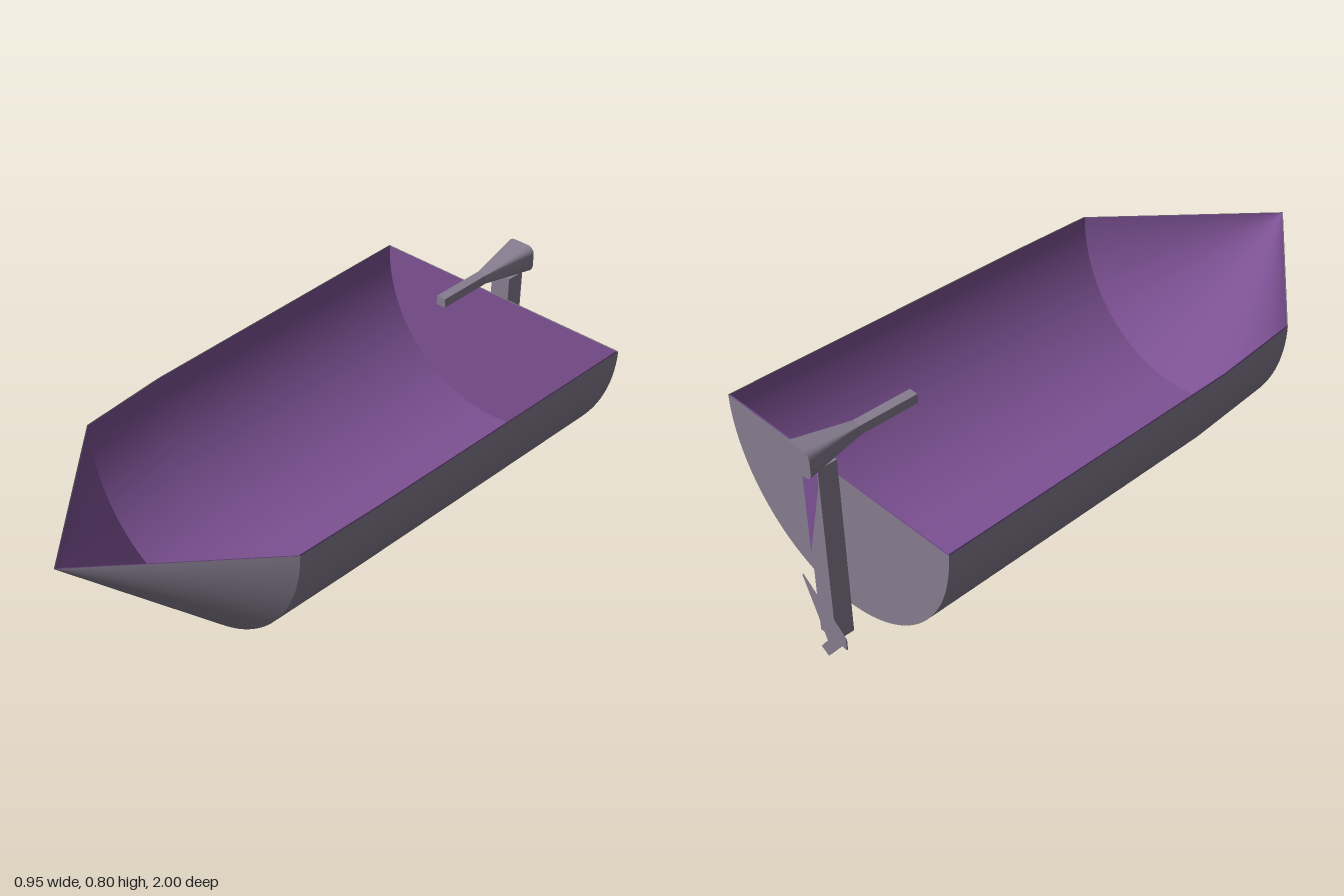
import * as THREE from 'three';

const RIM = 0.645;
const LINING = 0.005;

// Skin between rings of [x, y, z] points that run counter-clockwise seen from +z; z grows ring by ring
function loft(rings, inward = false) {
  const n = rings[0].length, index = [];
  for (let i = 0; i < rings.length - 1; i++) {
    for (let j = 0; j < n - 1; j++) {
      const a = i * n + j, b = a + 1, c = a + n, d = c + 1;
      if (inward) index.push(a, c, b, b, c, d);
      else index.push(a, b, c, b, d, c);
    }
  }
  const geo = new THREE.BufferGeometry();
  geo.setAttribute('position', new THREE.Float32BufferAttribute(rings.flat(2), 3));
  geo.setIndex(index);
  geo.computeVertexNormals();
  return geo;
}

// Half-ellipse hull section hanging from the rim
function section(z, cx, rx, depth, steps = 64) {
  return Array.from({ length: steps + 1 }, (_, i) => {
    const a = (i / steps) * Math.PI;
    return [cx - rx * Math.cos(a), RIM - depth * Math.sin(a), z];
  });
}

// Hull sections from stern to bow tip, shrunk by an inset
function hullSections(inset) {
  return [
    section(-0.89 + inset, 0, 0.476 - inset, 0.476 - inset),
    section(0.2, 0.005, 0.455 - inset, 0.466 - inset),
    section(0.51, 0.015, 0.435 - inset, 0.461 - inset),
    section(1 - inset, 0.015, 0, 0),
  ];
}

// Rounded rectangle ring, open along its bottom edge
function roundedRing(z, cx, cy, w, h, r) {
  const pts = [];
  [[1, -1], [1, 1], [-1, 1], [-1, -1]].forEach(([sx, sy], k) => {
    for (let i = 0; i <= 4; i++) {
      const a = (k - 1 + i / 4) * Math.PI / 2;
      pts.push([cx + sx * (w / 2 - r) + r * Math.cos(a), cy + sy * (h / 2 - r) + r * Math.sin(a), z]);
    }
  });
  return pts;
}

function shapeOf(points) {
  return new THREE.Shape(points.map(([x, y]) => new THREE.Vector2(x, y)));
}

export function createModel() {
  const model = new THREE.Group();
  model.name = 'boat';
  const grey = new THREE.MeshStandardMaterial({ color: 0x857c8e, side: THREE.DoubleSide });
  grey.name = 'hullGrey';
  const purple = new THREE.MeshStandardMaterial({ color: 0x7c5193, side: THREE.DoubleSide });
  purple.name = 'insidePurple';

  const add = (name, geo, mat, parent = model) => {
    const mesh = new THREE.Mesh(geo, mat);
    mesh.name = name;
    parent.add(mesh);
    return mesh;
  };

  // Open hull: grey shell with a thin purple lining
  const shell = hullSections(0), lining = hullSections(LINING);
  add('hullOutside', loft(shell.slice(0, 3)), grey);
  add('bowOutside', loft(shell.slice(2)), grey);
  add('hullInside', loft(lining.slice(0, 3), true), purple);
  add('bowInside', loft(lining.slice(2), true), purple);

  // Flat stern panel and its lining
  add('sternInside', new THREE.ShapeGeometry(shapeOf(lining[0])), purple).position.z = -0.89 + LINING;
  const sternBack = add('sternOutside', new THREE.ShapeGeometry(shapeOf(shell[0])), grey);
  sternBack.position.z = -0.89;
  sternBack.rotation.y = Math.PI;

  // Outboard motor: post, tiller and propeller
  const motor = new THREE.Group();
  motor.name = 'motor';
  model.add(motor);

  const post = add('post', new THREE.BoxGeometry(0.07, 0.634, 0.065), grey, motor);
  post.position.set(-0.006, 0.397, -0.9325);

  // Purple wedge on the back of the post
  const patch = add('postPatch', new THREE.ShapeGeometry(
    shapeOf([[-0.029, 0.714], [0.041, 0.714], [0.041, 0.66], [-0.029, 0.38]])), purple, motor);
  patch.position.z = -0.968;
  patch.rotation.y = Math.PI;

  // Tiller: slim grip flaring to a rounded head
  const grip = add('tillerGrip', new THREE.BoxGeometry(0.033, 0.031, 0.2), grey, motor);
  grip.position.set(-0.007, 0.749, -0.7);
  const head = roundedRing(-1, -0.007, 0.75, 0.105, 0.093, 0.025);
  const neck = roundedRing(-0.8, -0.007, 0.749, 0.033, 0.031, 0.001);
  add('tillerFlare', loft([head, neck].map(ring => ring.slice(1, -1))), grey, motor);
  const underside = [head, neck].map(ring => [...ring.slice(-2), ...ring.slice(0, 2)]);
  add('tillerUnderside', loft(underside), purple, motor);
  const cap = add('tillerCap', new THREE.ShapeGeometry(
    shapeOf(head.map(([x, y]) => [-x, y]))), grey, motor);
  cap.position.z = -1;
  cap.rotation.y = Math.PI;

  // Thin hooked propeller blade behind the post
  const blade = add('propeller', new THREE.ExtrudeGeometry(shapeOf([
    [0.083, 0.262], [-0.098, 0.13], [-0.098, 0.09], [-0.076, 0.09],
    [-0.005, 0], [0.027, 0.018], [-0.008, 0.065]]), { depth: 0.004, bevelEnabled: false }), grey, motor);
  blade.position.z = -0.971;

  return model;
}
